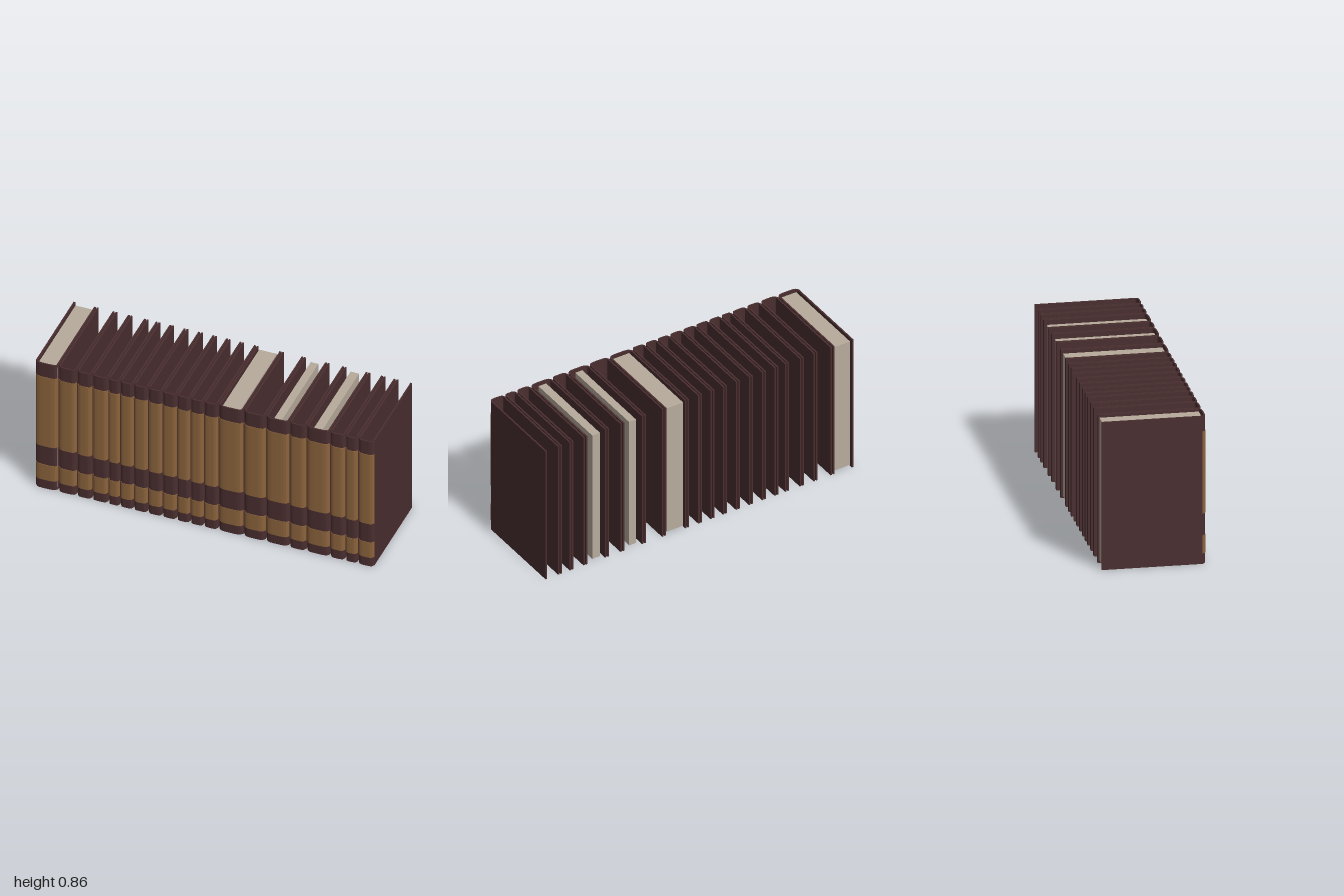
import * as THREE from 'three';

const cover = new THREE.MeshStandardMaterial({ color: 0x4a2e2f });
cover.name = 'dark leather';
const gold = new THREE.MeshStandardMaterial({ color: 0x8c643c });
gold.name = 'tan leather';
const paper = new THREE.MeshStandardMaterial({ color: 0xb8ab9d });
paper.name = 'paper';

const H = 0.86, BACK = -0.29, JOINT = 0.272, BULGE = 0.02, BOARD = 0.01;

// x positions where one book ends and the next begins
const EDGES = [-1, -0.865, -0.755, -0.665, -0.57, -0.5, -0.42, -0.335, -0.25, -0.165, -0.085,
  -0.005, 0.08, 0.23, 0.36, 0.5, 0.6, 0.74, 0.83, 0.905, 1];
// books with a visible block of pages: index -> [left x, right x]
const PAGES = { 0: [-0.985, -0.87], 12: [0.1, 0.205], 14: [0.405, 0.45], 16: [0.64, 0.69] };
// tan panels on the spine: [bottom, top]
const PANELS = [[0.06, 0.165], [0.292, 0.77]];

function box(name, x0, x1, y0, y1, z0, z1, material) {
  const mesh = new THREE.Mesh(new THREE.BoxGeometry(x1 - x0, y1 - y0, z1 - z0), material);
  mesh.position.set((x0 + x1) / 2, (y0 + y1) / 2, (z0 + z1) / 2);
  mesh.name = name;
  return mesh;
}

// Rounded strip across the spine, extruded upwards from y0 to y1
function spineStrip(name, width, inner, outer, y0, y1, material) {
  const w = width / 2, n = 10, shape = new THREE.Shape();
  const arc = (t, offset) => [t * w, -(JOINT + BULGE * Math.sqrt(1 - t ** 4) + offset)];
  for (let i = 0; i <= n; i++) {
    const p = arc(-1 + (2 * i) / n, outer);
    if (i === 0) shape.moveTo(...p); else shape.lineTo(...p);
  }
  for (let i = n; i >= 0; i--) shape.lineTo(...arc(-1 + (2 * i) / n, inner));
  const geometry = new THREE.ExtrudeGeometry(shape, { depth: y1 - y0, bevelEnabled: false });
  geometry.rotateX(-Math.PI / 2);
  geometry.translate(0, y0, 0);
  const mesh = new THREE.Mesh(geometry, material);
  mesh.name = name;
  return mesh;
}

function makeBook(i) {
  const book = new THREE.Group();
  book.name = 'book' + (i + 1);
  // a small gap separates neighbouring books
  const x0 = EDGES[i] + (i === 0 ? 0 : 0.003);
  const x1 = EDGES[i + 1] - (i === EDGES.length - 2 ? 0 : 0.003);
  const width = x1 - x0;

  // boards
  book.add(box('rightBoard', x0, x0 + BOARD, 0, H, BACK, JOINT, cover));
  book.add(box('leftBoard', x1 - BOARD, x1, 0, H, BACK, JOINT, cover));

  // spine with its two tan panels
  const spine = new THREE.Group();
  spine.name = 'spine';
  spine.position.x = (x0 + x1) / 2;
  spine.add(spineStrip('spineShell', width, -0.009, 0, 0, H, cover));
  for (const [y0, y1] of PANELS) {
    spine.add(spineStrip('spinePanel', width, -0.001, 0.003, y0, y1, gold));
  }
  book.add(spine);

  // page block
  if (PAGES[i]) book.add(box('pages', ...PAGES[i], 0.015, H - 0.015, -0.28, 0.275, paper));
  return book;
}

export function createModel() {
  const model = new THREE.Group();
  model.name = 'bookRow';
  for (let i = 0; i < EDGES.length - 1; i++) model.add(makeBook(i));
  return model;
}
